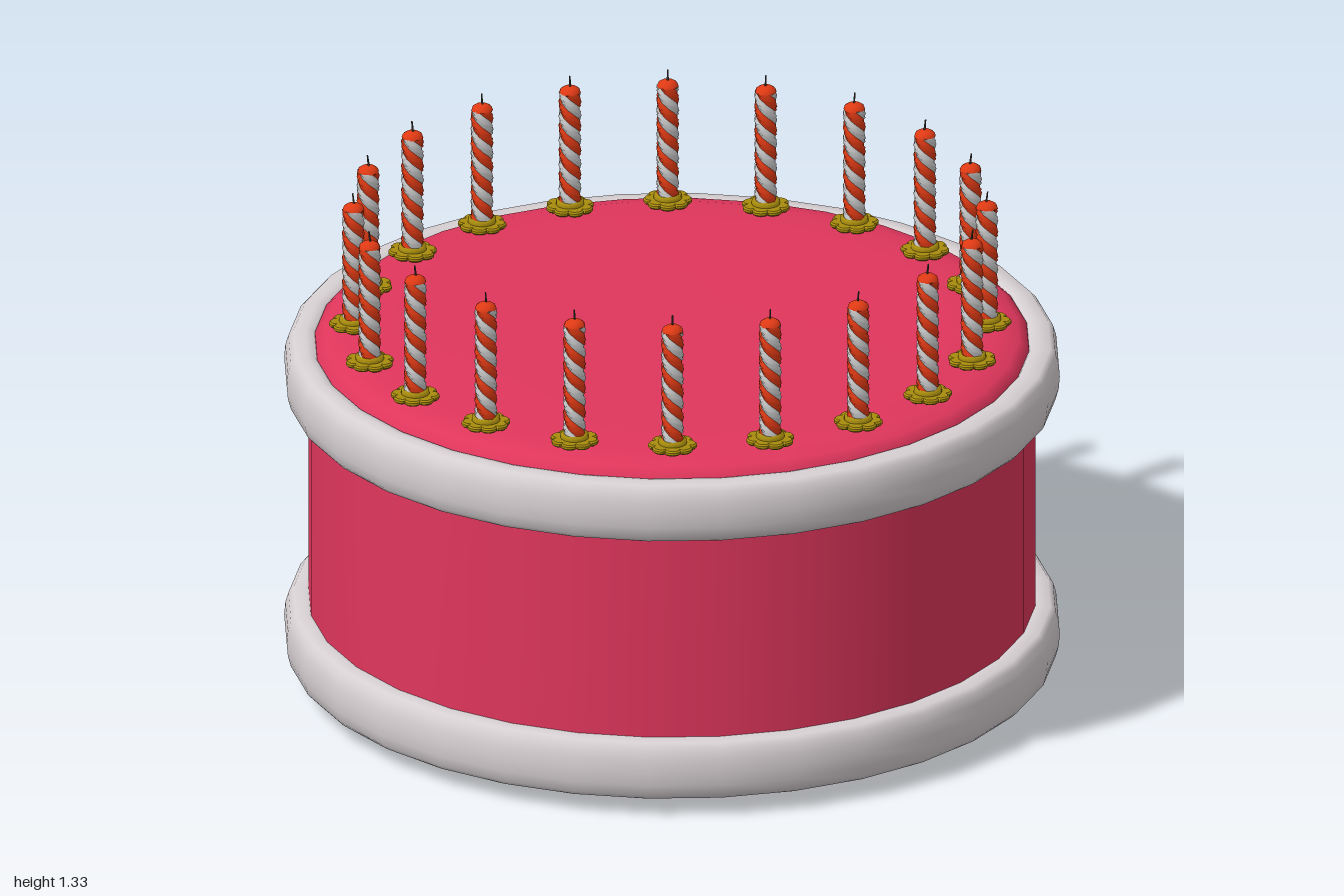
import * as THREE from 'three';
import { ParametricGeometry } from 'three/addons/geometries/ParametricGeometry.js';

const paint = (color) => new THREE.MeshStandardMaterial({ color });
const pink = paint(0xe0365c);
const cream = paint(0xd8d1d4);
const red = paint(0xe03a14);
const white = paint(0xcccccc);
const gold = paint(0xa88c0c);
const dark = paint(0x444038);

const SIDES = 32;
const CANDLES = 20;
const WAX_BASE = 0.965;
const WAX_HEIGHT = 0.325;

function addMesh(parent, name, geometry, material, y = 0) {
  const mesh = new THREE.Mesh(geometry, material);
  mesh.name = name;
  mesh.position.y = y;
  parent.add(mesh);
  return mesh;
}

const lathe = (points, sides) =>
  new THREE.LatheGeometry(points.map(([r, y]) => new THREE.Vector2(r, y)), sides);

// One twisted wax strand: a slightly bulging quarter of the candle wall
function strandGeometry(start) {
  const turns = 2.4;
  return new ParametricGeometry((u, v, target) => {
    const a = start + u * Math.PI / 2 - v * turns * Math.PI * 2;
    const r = 0.026 + 0.004 * Math.sin(u * Math.PI);
    target.set(r * Math.sin(a), v * WAX_HEIGHT, r * Math.cos(a));
  }, 4, 24);
}

// Flower-shaped plate under each candle
function flowerGeometry() {
  const petals = 8, steps = 64, points = [];
  for (let i = 0; i < steps; i++) {
    const a = (i / steps) * Math.PI * 2;
    const r = 0.046 + 0.013 * Math.sqrt(Math.abs(Math.cos(a * petals / 2)));
    points.push(new THREE.Vector2(r * Math.cos(a), r * Math.sin(a)));
  }
  const geometry = new THREE.ExtrudeGeometry(new THREE.Shape(points), {
    depth: 0.006, bevelThickness: 0.004, bevelSize: 0.004, bevelSegments: 1,
  });
  return geometry.rotateX(-Math.PI / 2);
}

function createCandle() {
  const candle = new THREE.Group();
  candle.name = 'candle';

  // Holder: petals and a small cup
  addMesh(candle, 'holderPetals', flowerGeometry(), gold, 0.967);
  addMesh(candle, 'holderCup',
    lathe([[0, 0], [0.03, 0], [0.037, 0.012], [0.036, 0.026], [0.026, 0.026]], 16), gold, 0.962);

  // Alternating red and white strands
  for (let i = 0; i < 4; i++) {
    addMesh(candle, i % 2 ? 'whiteStrand' : 'redStrand',
      strandGeometry(i * Math.PI / 2), i % 2 ? white : red, WAX_BASE);
  }

  // Rounded tip and wick
  addMesh(candle, 'candleTip',
    lathe([[0.028, 0], [0.025, 0.009], [0.016, 0.015], [0, 0.018]], 12),
    red, WAX_BASE + WAX_HEIGHT - 0.002);
  const wick = addMesh(candle, 'wick',
    new THREE.CylinderGeometry(0.002, 0.003, 0.034, 6), dark, 1.316);
  wick.rotation.z = -0.12;
  return candle;
}

export function createModel() {
  const cake = new THREE.Group();
  cake.name = 'birthdayCake';

  // Cake body with softened top and bottom edges
  addMesh(cake, 'cakeBody', lathe([
    [0, 0], [0.72, 0.005], [0.84, 0.012], [0.895, 0.026], [0.92, 0.05], [0.935, 0.1], [0.937, 0.2],
    [0.937, 0.77], [0.935, 0.87], [0.92, 0.92], [0.895, 0.942], [0.84, 0.956], [0.72, 0.963], [0, 0.965],
  ], SIDES), pink);

  // Two icing bands, rounded on the outside
  const band = [
    [0.915, 0.015], [0.925, 0.003], [0.945, 0], [0.976, 0.002], [0.989, 0.016], [0.997, 0.045], [1, 0.08],
    [0.997, 0.115], [0.989, 0.142], [0.976, 0.156], [0.945, 0.158], [0.925, 0.155], [0.915, 0.143], [0.915, 0.015],
  ];
  addMesh(cake, 'lowerIcing', lathe(band, SIDES), cream, 0.048);
  addMesh(cake, 'upperIcing', lathe(band, SIDES), cream, 0.766);

  // Ring of candles
  const candle = createCandle();
  for (let i = 0; i < CANDLES; i++) {
    const a = (i / CANDLES) * Math.PI * 2 - 0.033;
    const copy = candle.clone();
    copy.position.set(0.815 * Math.cos(a) - 0.004, 0, 0.815 * Math.sin(a) - 0.003);
    copy.rotation.y = -a;
    cake.add(copy);
  }
  return cake;
}
